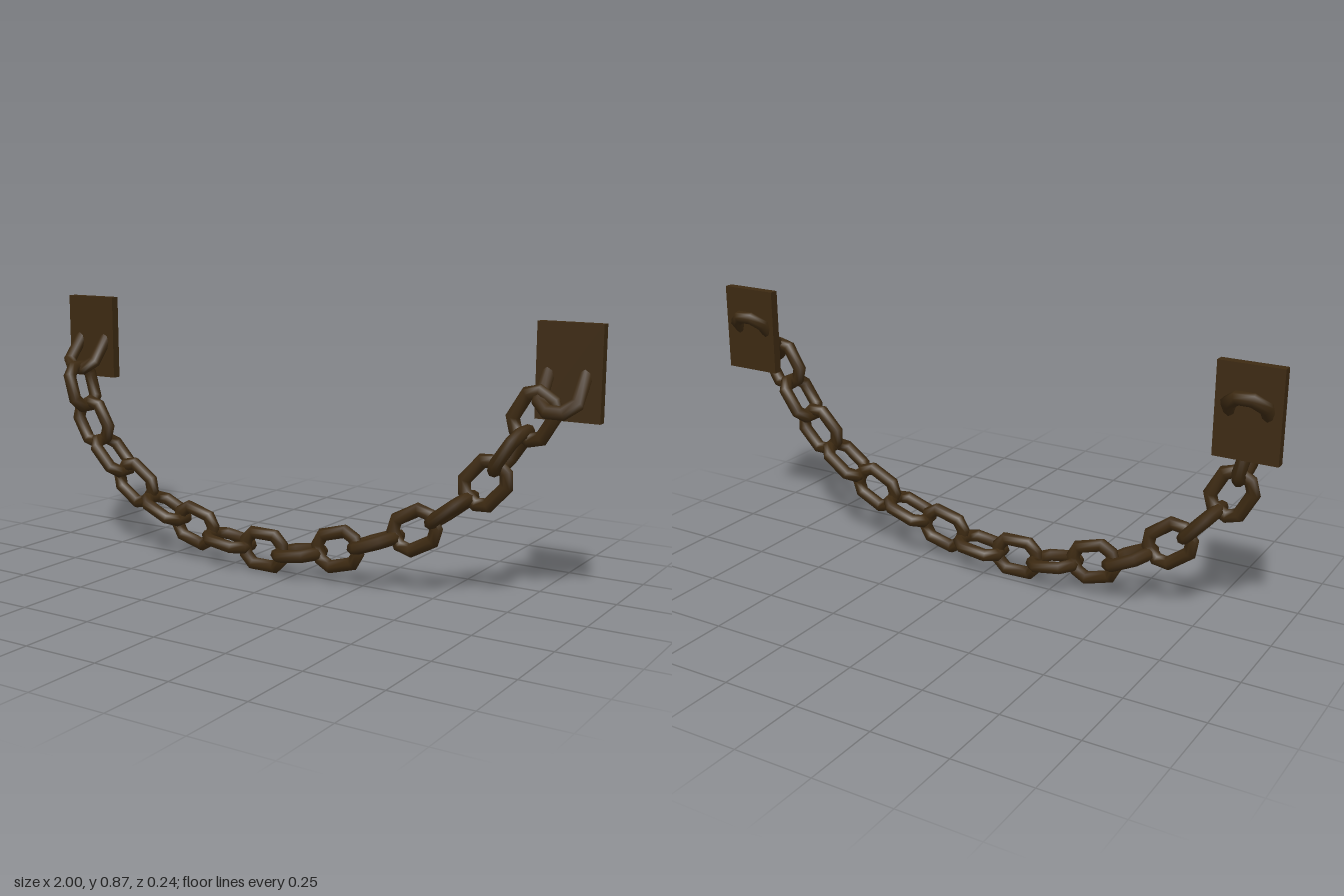
import * as THREE from 'three';

const iron = new THREE.MeshStandardMaterial({ color: 0x3d2a12 });

// Closed link in the local XY plane, long axis X: a mitred round bar swept
// around a rectangle with chamfered corners.
function linkGeometry(halfLength, halfWidth, chamfer, radius, sides = 8) {
  const l = halfLength, w = halfWidth, c = chamfer;
  const path = [
    [l, -w + c], [l, w - c], [l - c, w], [-l + c, w],
    [-l, w - c], [-l, -w + c], [-l + c, -w], [l - c, -w],
  ].map(([x, y]) => new THREE.Vector2(x, y));
  const n = path.length;
  const outward = (a, b) => new THREE.Vector2(b.y - a.y, a.x - b.x).normalize();
  const positions = [], index = [];
  path.forEach((p, i) => {
    const n0 = outward(path[(i + n - 1) % n], p);
    const n1 = outward(p, path[(i + 1) % n]);
    const miter = n0.clone().add(n1).normalize();
    miter.divideScalar(miter.dot(n0));
    for (let j = 0; j < sides; j++) {
      const a = (j / sides) * Math.PI * 2;
      const r = radius * Math.cos(a);
      positions.push(p.x + miter.x * r, p.y + miter.y * r, radius * Math.sin(a));
      const k = (j + 1) % sides, i2 = (i + 1) % n;
      const A = i * sides + j, B = i2 * sides + j, C = i2 * sides + k, D = i * sides + k;
      index.push(A, B, C, A, C, D);
    }
  });
  const g = new THREE.BufferGeometry();
  g.setAttribute('position', new THREE.Float32BufferAttribute(positions, 3));
  g.setIndex(index);
  g.computeVertexNormals();
  return g;
}

// Places a link with its long axis along `along` and its flat face towards `face`
function placeLink(geometry, name, center, along, face) {
  const mesh = new THREE.Mesh(geometry, iron);
  const x = along.clone().normalize();
  const y = face.clone().cross(x).normalize();
  const z = x.clone().cross(y);
  mesh.quaternion.setFromRotationMatrix(new THREE.Matrix4().makeBasis(x, y, z));
  mesh.position.copy(center);
  mesh.name = name;
  return mesh;
}

export function createModel() {
  const model = new THREE.Group();
  model.name = 'hangingChain';

  // Wall plates with a larger slanted ring passing through each
  const ringGeometry = linkGeometry(0.105, 0.057, 0.034, 0.021);
  for (const side of [-1, 1]) {
    const label = side > 0 ? 'left' : 'right';
    const plate = new THREE.Mesh(new THREE.BoxGeometry(0.2, 0.285, 0.03), iron);
    plate.position.set(side * 0.9, 0.733, -0.05);
    plate.name = label + 'WallPlate';
    model.add(plate);
    model.add(placeLink(ringGeometry, label + 'PlateRing',
      new THREE.Vector3(side > 0 ? 0.892 : -0.9, 0.705, -0.028),
      new THREE.Vector3(0, 0.75, -0.66), new THREE.Vector3(0, 0.66, 0.75)));
  }

  // Link centres along the sagging chain, with one guide point past each end
  const centers = [
    [-0.895, 0.68, 0.045],
    [-0.875, 0.565, 0.047], [-0.83, 0.44, 0.045], [-0.745, 0.33, 0.043], [-0.645, 0.24, 0.04],
    [-0.515, 0.165, 0.037], [-0.39, 0.12, 0.036], [-0.25, 0.088, 0.035], [-0.11, 0.076, 0.034],
    [0.027, 0.084, 0.03], [0.17, 0.117, 0.026], [0.308, 0.16, 0.022], [0.44, 0.215, 0.016],
    [0.563, 0.295, 0.011], [0.67, 0.39, 0.008], [0.747, 0.495, 0.004], [0.818, 0.605, 0.008],
    [0.88, 0.71, 0.01],
  ].map((p) => new THREE.Vector3(...p));

  // Neighbouring links are turned a quarter turn about the chain
  const chain = new THREE.Group();
  chain.name = 'chain';
  const chainGeometry = linkGeometry(0.07, 0.053, 0.028, 0.021);
  for (let i = 1; i < centers.length - 1; i++) {
    const along = centers[i + 1].clone().sub(centers[i - 1]);
    const face = i % 2 ? new THREE.Vector3(-along.y, along.x, 0) : new THREE.Vector3(0, 0, 1);
    chain.add(placeLink(chainGeometry, 'chainLink' + i, centers[i], along, face));
  }
  model.add(chain);
  return model;
}
